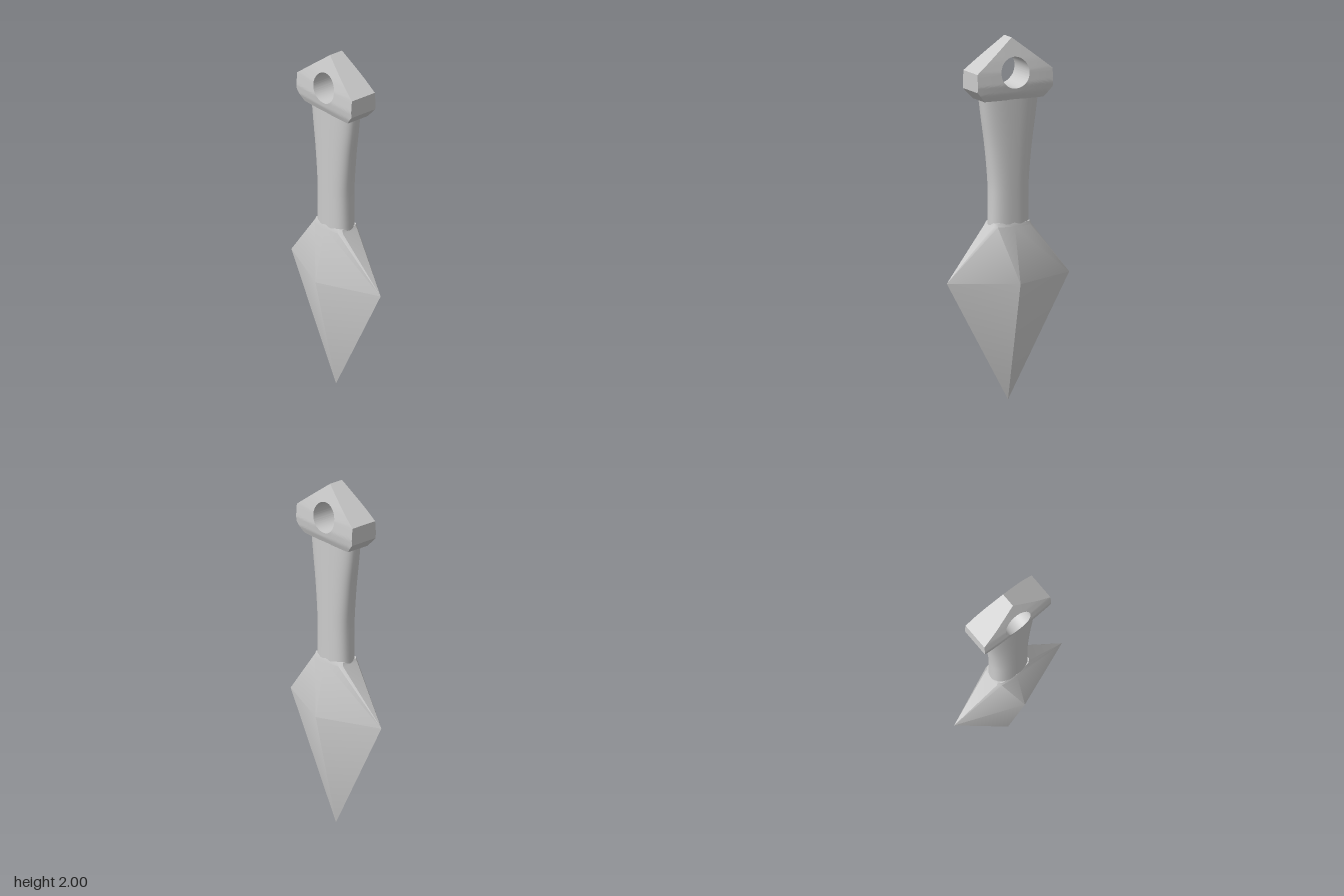
import * as THREE from 'three';
import { toCreasedNormals } from 'three/addons/utils/BufferGeometryUtils.js';

// Skin a list of closed rings of Vector3; wrap joins the last ring to the first.
function loft(rings, crease, wrap = false) {
  const out = [];
  const tri = (a, b, c) => {
    if (new THREE.Triangle(a, b, c).getArea() > 1e-9) {
      for (const p of [a, b, c]) out.push(p.x, p.y, p.z);
    }
  };
  const count = wrap ? rings.length : rings.length - 1;
  for (let i = 0; i < count; i++) {
    const lo = rings[i], hi = rings[(i + 1) % rings.length];
    for (let j = 0; j < lo.length; j++) {
      const k = (j + 1) % lo.length;
      tri(lo[j], hi[j], hi[k]);
      tri(lo[j], hi[k], lo[k]);
    }
  }
  const geo = new THREE.BufferGeometry();
  geo.setAttribute('position', new THREE.Float32BufferAttribute(out, 3));
  geo.computeVertexNormals();
  return toCreasedNormals(geo, crease);
}

// Piecewise linear lookup in [position, value] pairs sorted upwards.
function lookup(table, v) {
  for (let i = 1; i < table.length; i++) {
    const [a, va] = table[i - 1], [b, vb] = table[i];
    if (v <= b || i === table.length - 1) {
      return THREE.MathUtils.lerp(va, vb, THREE.MathUtils.clamp((v - a) / (b - a), 0, 1));
    }
  }
}

// Blade: four-sided point, flaring to a diamond, then closing to a faceted collar
function bladeGeometry() {
  const mid = [], top = [], bevel = [];
  // Quarter section from +x to +z; the side point fans out into two collar corners
  const quarter = [
    [0.375, 0, 0.118, 0.05],
    [0.375, 0, 0.098, 0.068],
    [0, 0.145, 0, 0.08],
  ];
  const add = ([mx, mz, tx, tz], sx, sz) => {
    mid.push(new THREE.Vector3(mx * sx, mx ? 0.67 : 0.658, mz * sz));
    top.push(new THREE.Vector3(tx * sx, 0.965, tz * sz));
    bevel.push(new THREE.Vector3(tx * sx * 0.93, 0.985, tz * sz * 0.93));
  };
  quarter.forEach((q) => add(q, 1, 1));
  quarter.slice(0, 2).reverse().forEach((q) => add(q, -1, 1));
  quarter.forEach((q) => add(q, -1, -1));
  quarter.slice(0, 2).reverse().forEach((q) => add(q, 1, -1));
  const point = (y) => mid.map(() => new THREE.Vector3(0, y, 0));
  return loft([point(0), mid, top, bevel, point(0.985)], 0.6);
}

// Handle: rounded oval section that widens towards the pommel
function handleGeometry() {
  const width = new THREE.SplineCurve([
    [0.116, 0.97], [0.114, 1.1], [0.117, 1.22], [0.135, 1.4], [0.157, 1.55], [0.175, 1.68],
  ].map(([x, y]) => new THREE.Vector2(x, y)));
  const round = (v) => Math.sign(v) * Math.abs(v) ** 0.8;
  const rings = width.getPoints(20).map((p) => {
    const ring = [];
    for (let j = 0; j < 40; j++) {
      const t = (j / 40) * Math.PI * 2;
      ring.push(new THREE.Vector3(round(Math.cos(t)) * p.x, p.y, round(Math.sin(t)) * 0.074));
    }
    return ring;
  });
  return loft(rings, 0.8);
}

// Pommel: house-shaped block with bulging faces and a round hole
function pommelGeometry() {
  const outline = [
    [0, 2], [0.23, 1.82], [0.23, 1.72], [0.18, 1.663],
    [-0.18, 1.663], [-0.23, 1.72], [-0.23, 1.82],
  ];
  const depth = [[1.663, 0.073], [1.7, 0.088], [1.75, 0.094], [1.82, 0.088], [1.88, 0.075], [2, 0.042]];
  const centre = new THREE.Vector2(0, 1.812), radius = 0.086, edgeSteps = 10, radialSteps = 8;
  const rings = [];
  outline.forEach((a, i) => {
    const b = outline[(i + 1) % outline.length];
    for (let e = 0; e < edgeSteps; e++) {
      const outer = new THREE.Vector2(...a).lerp(new THREE.Vector2(...b), e / edgeSteps);
      const inner = outer.clone().sub(centre).setLength(radius).add(centre);
      const front = [];
      for (let s = 0; s <= radialSteps; s++) {
        const p = inner.clone().lerp(outer, s / radialSteps);
        const z = lookup(depth, p.y) * (1 - 0.08 * (p.x / 0.23) ** 2);
        front.push(new THREE.Vector3(p.x, p.y, z));
      }
      const back = front.map((p) => new THREE.Vector3(p.x, p.y, -p.z)).reverse();
      rings.push([...front, ...back]);
    }
  });
  return loft(rings, 0.6, true);
}

export function createModel() {
  const group = new THREE.Group();
  group.name = 'dagger';
  const material = new THREE.MeshStandardMaterial({ color: 0xcccccc });
  const parts = { blade: bladeGeometry(), handle: handleGeometry(), pommel: pommelGeometry() };
  for (const [name, geometry] of Object.entries(parts)) {
    const mesh = new THREE.Mesh(geometry, material);
    mesh.name = name;
    group.add(mesh);
  }
  return group;
}
